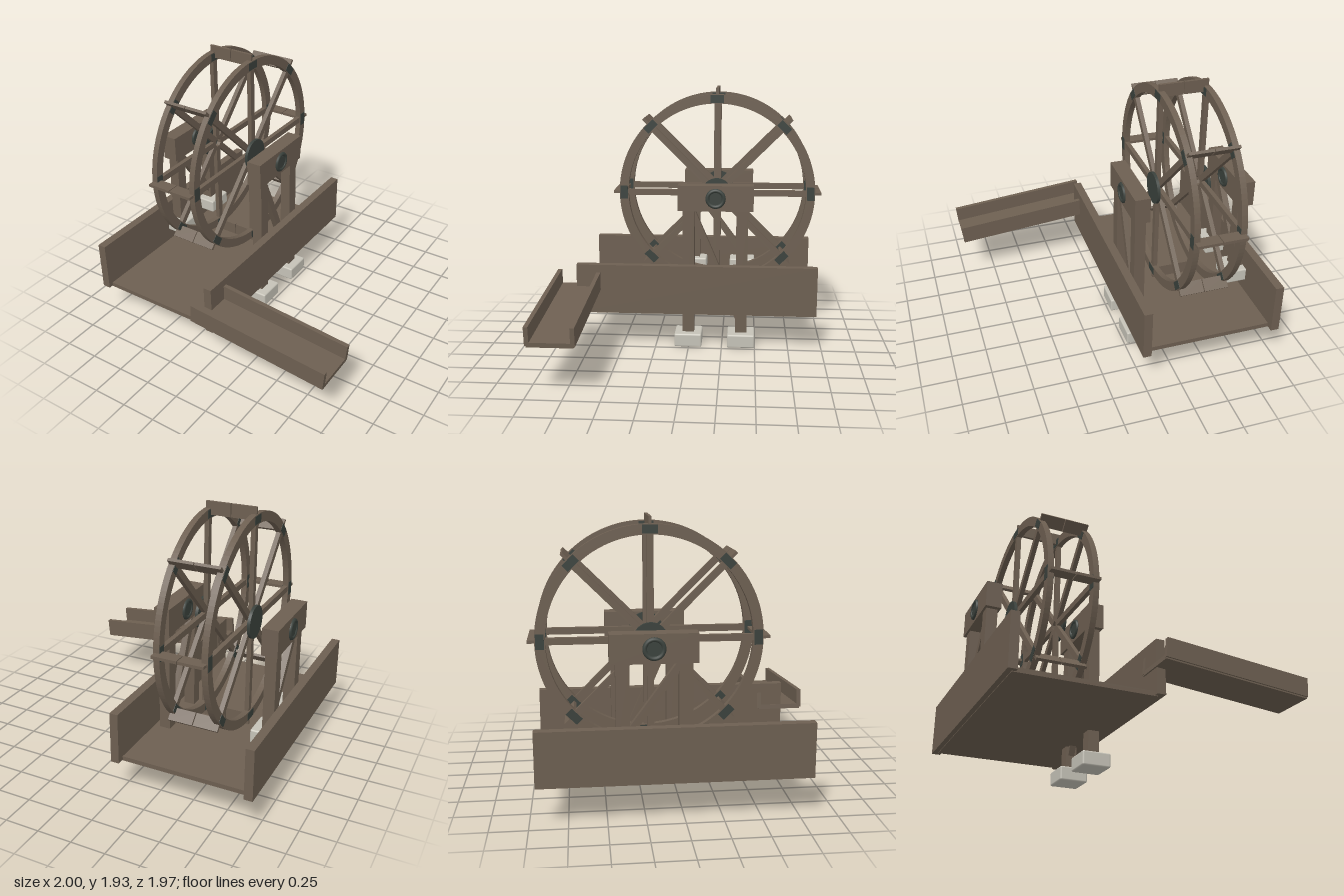
import * as THREE from 'three';
import { RoundedBoxGeometry } from 'three/addons/geometries/RoundedBoxGeometry.js';

export function createModel() {
  const wood = new THREE.MeshStandardMaterial({ color: 0x6d5f51 });
  wood.name = 'weatheredWood';
  const iron = new THREE.MeshStandardMaterial({ color: 0x3a413c });
  iron.name = 'darkIron';
  const stone = new THREE.MeshStandardMaterial({ color: 0xc5c2b7 });
  stone.name = 'paleStone';

  const model = new THREE.Group();
  model.name = 'waterWheel';
  const AXLE_Y = 1.14, AXLE_Z = -0.197, WHEEL_X = -0.49;

  const group = (name, parent = model) => {
    const g = new THREE.Group();
    g.name = name;
    parent.add(g);
    return g;
  };
  const add = (parent, name, geometry, material, x = 0, y = 0, z = 0) => {
    const m = new THREE.Mesh(geometry, material);
    m.name = name;
    m.position.set(x, y, z);
    parent.add(m);
    return m;
  };
  // box given by its low and high corners
  const span = (parent, name, material, [x0, y0, z0], [x1, y1, z1]) =>
    add(parent, name, new THREE.BoxGeometry(x1 - x0, y1 - y0, z1 - z0), material,
      (x0 + x1) / 2, (y0 + y1) / 2, (z0 + z1) / 2);
  // cylinder lying along x
  const disc = (parent, name, radius, width, x, y = 0, z = 0) => {
    const g = new THREE.CylinderGeometry(radius, radius, width, 32);
    return add(parent, name, g.rotateZ(Math.PI / 2), iron, x, y, z);
  };

  // Channel: floor between two side walls
  const channel = group('channel');
  span(channel, 'channelFloor', wood, [-0.965, 0.27, -0.9], [-0.02, 0.302, 0.8]);
  span(channel, 'rightWall', wood, [-1, 0.275, -0.953], [-0.94, 0.645, 0.835]);
  span(channel, 'leftWall', wood, [-0.04, 0.275, -0.953], [0.02, 0.645, 0.835]);

  // Sloping outlet flume
  const flume = group('flume');
  flume.position.set(0.473, 0.476, 0.82);
  flume.rotation.z = -0.092;
  span(flume, 'flumeFloor', wood, [-0.518, -0.073, -0.155], [0.518, -0.04, 0.155]);
  for (const s of [-1, 1]) {
    add(flume, 'flumeSide', new THREE.BoxGeometry(1.04, 0.132, 0.03), wood, 0, 0.003, s * 0.15);
  }

  // Wheel, turning about x
  const wheel = group('wheel');
  wheel.position.set(WHEEL_X, AXLE_Y, AXLE_Z);
  const ringShape = new THREE.Shape().absarc(0, 0, 0.745, 0, Math.PI * 2, false);
  ringShape.holes.push(new THREE.Path().absarc(0, 0, 0.677, 0, Math.PI * 2, true));
  const ringGeometry = new THREE.ExtrudeGeometry(ringShape, {
    depth: 0.042, bevelEnabled: false, curveSegments: 64,
  }).translate(0, 0, -0.021).rotateY(Math.PI / 2);
  const spokeGeometry = new THREE.BoxGeometry(0.032, 0.66, 0.045);
  const clampGeometry = new THREE.BoxGeometry(0.047, 0.056, 0.1);
  const paddleGeometry = new THREE.BoxGeometry(0.175, 0.09, 0.02);

  for (const s of [-1, 1]) {
    add(wheel, 'rim', ringGeometry, wood, s * 0.164);
    disc(wheel, 'hubPlate', 0.115, 0.022, s * 0.19);
  }
  for (let i = 0; i < 8; i++) {
    const arm = group('wheelArm', wheel);
    arm.rotation.x = i * Math.PI / 4;
    for (const s of [-1, 1]) {
      add(arm, 'spoke', spokeGeometry, wood, s * 0.164, 0.36);
      add(arm, 'rimClamp', clampGeometry, iron, s * 0.164, 0.711);
      add(arm, 'paddle', paddleGeometry, wood, s * 0.0905, 0.747);
    }
  }

  // Bearing supports either side of the wheel
  const support = (name, x, footY, braceBottom) => {
    const g = group(name);
    g.position.x = x;
    span(g, 'bearingBeam', wood, [-0.056, 1.045, -0.477], [0.056, 1.235, 0.083]);
    for (const z of [0.005, -0.395]) {
      span(g, 'post', wood, [-0.04, footY + 0.09, z - 0.044], [0.04, 1.06, z + 0.044]);
      add(g, 'footStone', new RoundedBoxGeometry(0.206, 0.102, 0.206, 2, 0.012), stone,
        0, footY + 0.051, z);
    }
    // Diagonal brace from the front post's head to the rear post's foot
    const dy = 1.05 - braceBottom, dz = 0.39;
    const brace = add(g, 'brace', new THREE.BoxGeometry(0.045, Math.hypot(dy, dz), 0.05), wood,
      0, 1.05 - dy / 2, -0.015 - dz / 2);
    brace.rotation.x = Math.atan2(dz, dy);
    // Bearing rings and axle caps on both faces of the beam
    for (const s of [-1, 1]) {
      const torus = new THREE.TorusGeometry(0.06, 0.015, 10, 32).rotateY(Math.PI / 2);
      add(g, 'bearingRing', torus, iron, s * 0.056, AXLE_Y, AXLE_Z);
      disc(g, 'axleCap', 0.046, 0.02, s * 0.054, AXLE_Y, AXLE_Z);
    }
  };
  support('rightSupport', -0.893, 0.393, 0.52);
  support('leftSupport', -0.121, 0.002, 0.14);

  return model;
}
